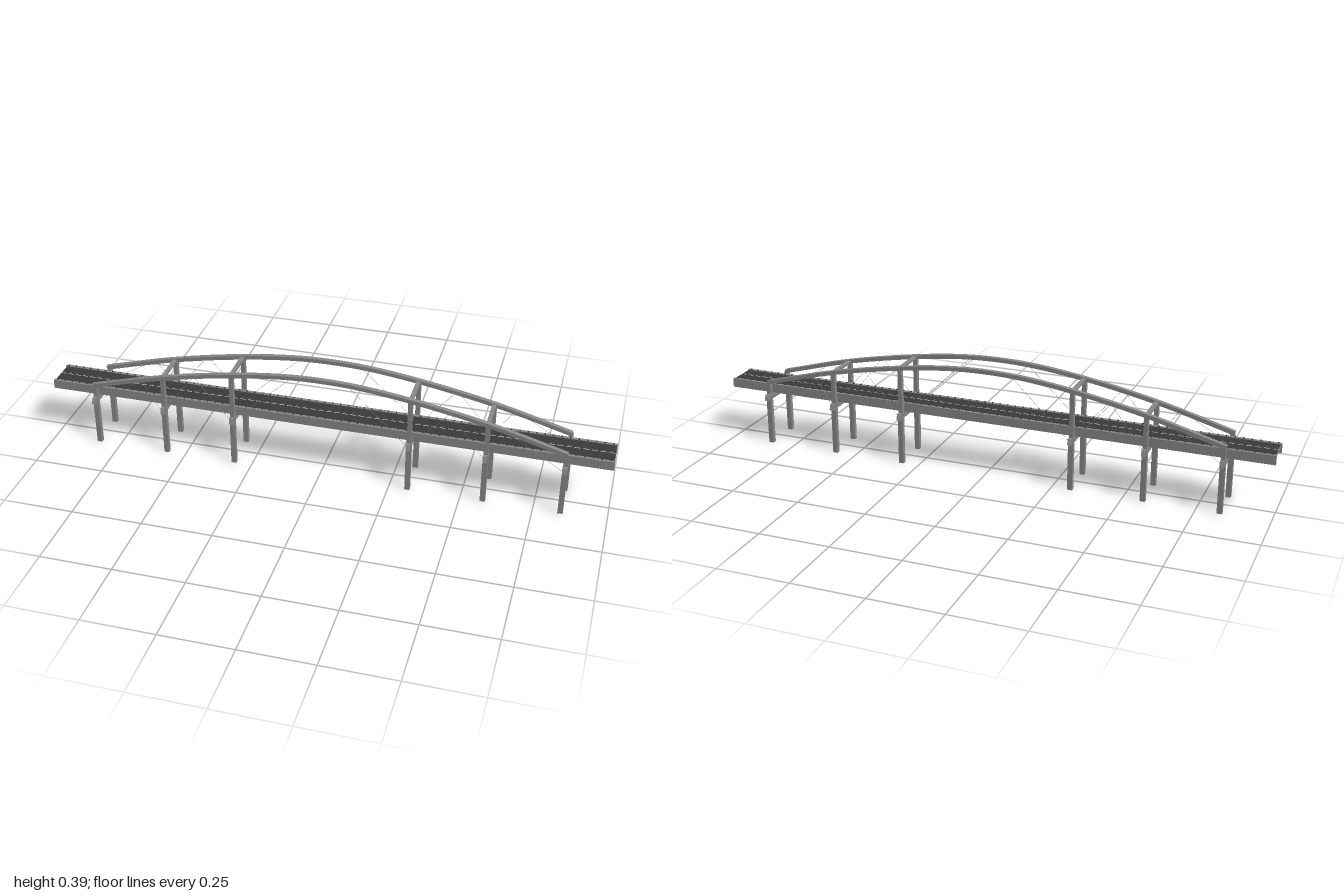
import * as THREE from 'three';

export function createModel() {
  const root = new THREE.Group();
  const steel = new THREE.MeshStandardMaterial({ color: 0x8a8a8a });
  steel.name = 'grey steel';
  const asphalt = new THREE.MeshStandardMaterial({ color: 0x3a3a3a });
  asphalt.name = 'dark asphalt';
  const paint = new THREE.MeshStandardMaterial({ color: 0xe0e0e0 });
  paint.name = 'white paint';

  const add = (name, geometry, material, x = 0, y = 0, z = 0) => {
    const mesh = new THREE.Mesh(geometry, material);
    mesh.name = name;
    mesh.position.set(x, y, z);
    root.add(mesh);
    return mesh;
  };
  // Box given by its centre in x and z, and its bottom and top in y
  const box = (name, w, y0, y1, d, x, z, material = steel) =>
    add(name, new THREE.BoxGeometry(w, y1 - y0, d), material, x, (y0 + y1) / 2, z);
  // Thin round cable between two points
  const cable = (a, b) => {
    const mesh = add('cable', new THREE.CylinderGeometry(0.0005, 0.0005, a.distanceTo(b), 5), steel);
    mesh.position.copy(a).add(b).multiplyScalar(0.5);
    mesh.quaternion.setFromUnitVectors(new THREE.Vector3(0, 1, 0), b.clone().sub(a).normalize());
  };

  const stations = [-0.83, -0.57, -0.315, 0.315, 0.578, 0.843];

  // Centre line of the arch
  const archCurve = new THREE.CatmullRomCurve3(
    [[-0.838, 0.233], [-0.57, 0.305], [-0.315, 0.355], [-0.13, 0.378], [0, 0.383],
      [0.13, 0.378], [0.315, 0.355], [0.578, 0.305], [0.846, 0.233]]
      .map(([x, y]) => new THREE.Vector3(x, y, 0)));
  const centre = archCurve.getSpacedPoints(48);
  const archY = (x) => {
    const i = Math.max(1, centre.findIndex((p) => p.x >= x));
    const a = centre[i - 1], b = centre[i];
    return a.y + (b.y - a.y) * (x - a.x) / (b.x - a.x);
  };

  // Road slab with a dark wearing surface, between two edge girders
  box('deckSlab', 1.992, 0.211, 0.2215, 0.096, 0.003, 0);
  box('roadSurface', 1.99, 0.2215, 0.2225, 0.096, 0.003, 0, asphalt);

  // Arch rib outline: offset the centre line up, then back below
  const half = 0.007;
  const offset = (sign) => centre.map((p, i) => {
    const t = archCurve.getTangentAt(i / (centre.length - 1));
    return new THREE.Vector2(p.x - t.y * half * sign, p.y + t.x * half * sign);
  });
  const ribGeometry = new THREE.ExtrudeGeometry(
    new THREE.Shape([...offset(-1), ...offset(1).reverse()]),
    { depth: 0.016, bevelEnabled: false });
  ribGeometry.translate(0, 0, -0.008);

  for (const side of [-1, 1]) {
    box('edgeGirder', 1.996, 0.192, 0.2245, 0.011, 0.002, side * 0.0525);
    add('archRib', ribGeometry, steel, 0, 0, side * 0.066);

    for (const x of stations) {
      box('pier', 0.018, 0, 0.188, 0.016, x, side * 0.069);
      box('archPost', 0.015, 0.18, archY(x), 0.0155, x, side * 0.066);
    }

    // Diagonal stays from the ribs to the cross beam ends
    for (const end of [-1, 1]) {
      for (const [top, foot] of [[0.65, 0.835], [0.65, 0.575], [0.45, 0.575], [0.45, 0.315], [0.1, 0.315]]) {
        cable(new THREE.Vector3(end * top, archY(end * top), side * 0.0735),
          new THREE.Vector3(end * foot, 0.175, side * 0.081));
      }
    }
  }

  // Cross beams under the deck, with sloping ends
  const beamShape = new THREE.Shape([[-0.092, 0.169], [0.092, 0.169], [0.085, 0.19], [-0.085, 0.19]]
    .map(([z, y]) => new THREE.Vector2(z, y)));
  const beamGeometry = new THREE.ExtrudeGeometry(beamShape, { depth: 0.015, bevelEnabled: false });
  beamGeometry.translate(0, 0, -0.0075);
  beamGeometry.rotateY(Math.PI / 2);
  for (const x of stations) add('crossBeam', beamGeometry, steel, x);

  // Struts between the ribs above the inner piers
  for (const x of stations.slice(1, 5)) {
    const y = archY(x);
    box('strut', 0.015, y - 0.004, y + 0.004, 0.12, x, 0);
  }

  // Centre line dashes and rows of small studs
  const count = 70;
  for (let i = 0; i < count; i++) {
    const x = -0.984 + i * 1.97 / (count - 1);
    box('laneDash', 0.02, 0.2224, 0.2232, 0.0025, x, 0, paint);
    box('centreStud', 0.003, 0.2224, 0.228, 0.002, x, 0);
    for (const side of [-1, 1]) box('edgeStud', 0.004, 0.222, 0.228, 0.005, x, side * 0.05, asphalt);
  }
  return root;
}
